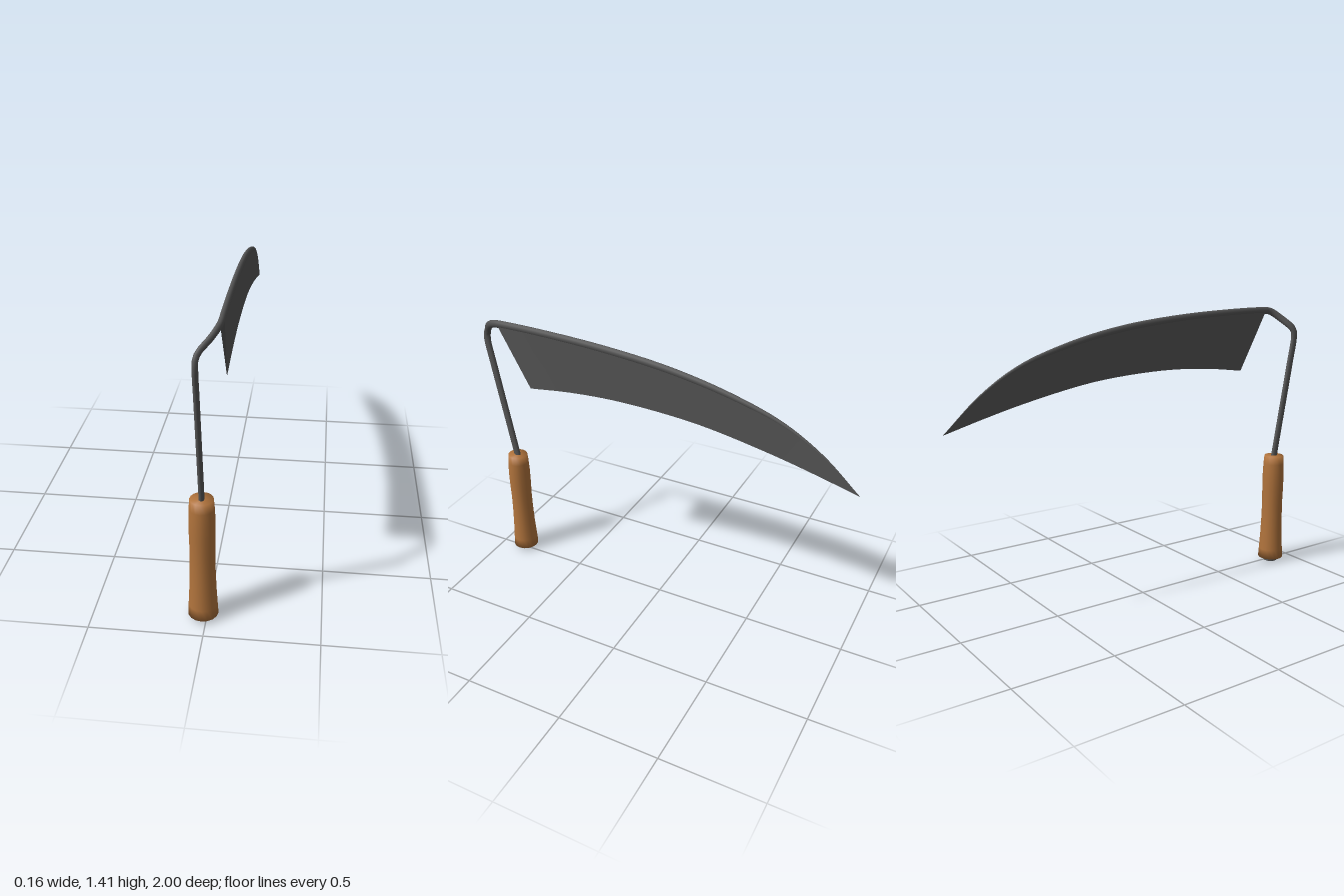
import * as THREE from 'three';
import { toCreasedNormals } from 'three/addons/utils/BufferGeometryUtils.js';

const V = (x, y, z) => new THREE.Vector3(x, y, z);
const HX = -0.016, HZ = 0.866, BX = 0.068;

// Centre line of the blade's thick back, as [z, y], heel to tip
const SPINE = [[0.84, 1.386], [0.63, 1.387], [0.25, 1.373], [-0.1, 1.338], [-0.4, 1.277],
  [-0.63, 1.202], [-0.82, 1.093], [-0.998, 0.944]];
// Cutting edge, as [z, y], heel to tip
const EDGE = [[0.68, 1.077], [0.45, 1.107], [0.2, 1.122], [-0.1, 1.114], [-0.3, 1.094],
  [-0.6, 1.04], [-0.8, 0.994], [-0.998, 0.943]];
const bladeCurve = (pts) => new THREE.CatmullRomCurve3(pts.map(([z, y]) => V(BX, y, z)));

function indexed(pos, idx) {
  const g = new THREE.BufferGeometry();
  g.setAttribute('position', new THREE.Float32BufferAttribute(pos, 3));
  g.setIndex(idx);
  g.computeVertexNormals();
  return g;
}

// Elliptical bar swept along a curve; size(p) gives [half width, half depth]
function sweep(curve, steps, sides, size) {
  const pos = [], idx = [], X = V(1, 0, 0);
  for (let i = 0; i <= steps; i++) {
    const p = curve.getPointAt(i / steps), t = curve.getTangentAt(i / steps);
    const n = X.clone().cross(t).normalize(), b = t.clone().cross(n);
    const [w, d] = size(p);
    for (let j = 0; j < sides; j++) {
      const a = (j / sides) * Math.PI * 2;
      const q = p.clone().addScaledVector(b, w * Math.cos(a)).addScaledVector(n, d * Math.sin(a));
      pos.push(q.x, q.y, q.z);
      if (i < steps) {
        const k = i * sides + j, m = i * sides + (j + 1) % sides;
        idx.push(k, k + sides, m, m, k + sides, m + sides);
      }
    }
  }
  return indexed(pos, idx);
}

// One face of the wedge-shaped blade, side = +1 or -1
function bladeFace(side, steps = 36) {
  const top = bladeCurve(SPINE), bottom = bladeCurve(EDGE), pos = [], idx = [];
  for (let i = 0; i <= steps; i++) {
    const u = i / steps, a = top.getPoint(u), b = bottom.getPoint(u);
    const w = 0.01 * (1 - u ** 3) * side;
    for (let r = 0; r <= 3; r++) {
      const p = a.clone().lerp(b, r / 3);
      pos.push(BX + w * (1 - r / 3), p.y, p.z);
      if (i < steps && r < 3) {
        const k = i * 4 + r;
        if (side > 0) idx.push(k, k + 1, k + 4, k + 1, k + 5, k + 4);
        else idx.push(k, k + 4, k + 1, k + 1, k + 4, k + 5);
      }
    }
  }
  return indexed(pos, idx);
}

export function createModel() {
  const group = new THREE.Group();
  const wood = new THREE.MeshStandardMaterial({ color: 0xb0733c });
  const steel = new THREE.MeshStandardMaterial({ color: 0x555555 });
  const sheet = new THREE.MeshStandardMaterial({ color: 0x555555, side: THREE.DoubleSide });
  const add = (name, geo, mat, parent = group) => {
    const m = new THREE.Mesh(geo, mat);
    m.name = name;
    parent.add(m);
    return m;
  };

  // Turned wooden grip with softly shaded ends
  const profile = [[0, 0.02], [0.067, 0.02], [0.064, 0.07], [0.059, 0.16], [0.056, 0.25], [0.055, 0.34],
    [0.057, 0.43], [0.057, 0.5], [0.055, 0.56], [0.051, 0.605], [0, 0.605]];
  add('handle', new THREE.LatheGeometry(profile.map(([r, y]) => new THREE.Vector2(r, y)), 16), wood)
    .position.set(HX, 0, HZ);

  // Metal end of the tang under the grip
  add('tangEnd', toCreasedNormals(new THREE.CylinderGeometry(0.038, 0.038, 0.04, 12), 0.8), steel)
    .position.set(HX, 0.02, HZ);

  // Tang, cranked neck and blade back as one tapering bar
  const path = [V(HX, 0.5, 0.848), V(HX, 0.8, 0.902), V(HX, 1.1, 0.956), V(HX, 1.25, 0.981),
    V(-0.014, 1.283, 0.976), V(0, 1.308, 0.958), V(0.03, 1.338, 0.931), V(0.056, 1.368, 0.898),
    V(0.067, 1.383, 0.87), ...SPINE.map(([z, y]) => V(BX, y, z))];
  const bar = sweep(new THREE.CatmullRomCurve3(path), 120, 10, (p) => {
    const u = p.x > 0.06 ? Math.max(0, (0.3 - p.z) / 1.298) : 0;
    const f = Math.max(0.02, 1 - u ** 2.5);
    return [0.0125 * f, 0.019 * f];
  });
  add('neckAndSpine', bar, steel);

  // Blade: two ground faces and the flat heel
  const blade = new THREE.Group();
  blade.name = 'blade';
  group.add(blade);
  for (const side of [1, -1]) add(side > 0 ? 'bladeLeftFace' : 'bladeRightFace', bladeFace(side), sheet, blade);
  const [[tz, ty]] = SPINE, [[ez, ey]] = EDGE;
  add('bladeHeel', indexed([BX - 0.01, ty, tz, BX, ey, ez, BX + 0.01, ty, tz], [0, 1, 2]), sheet, blade);

  return group;
}
